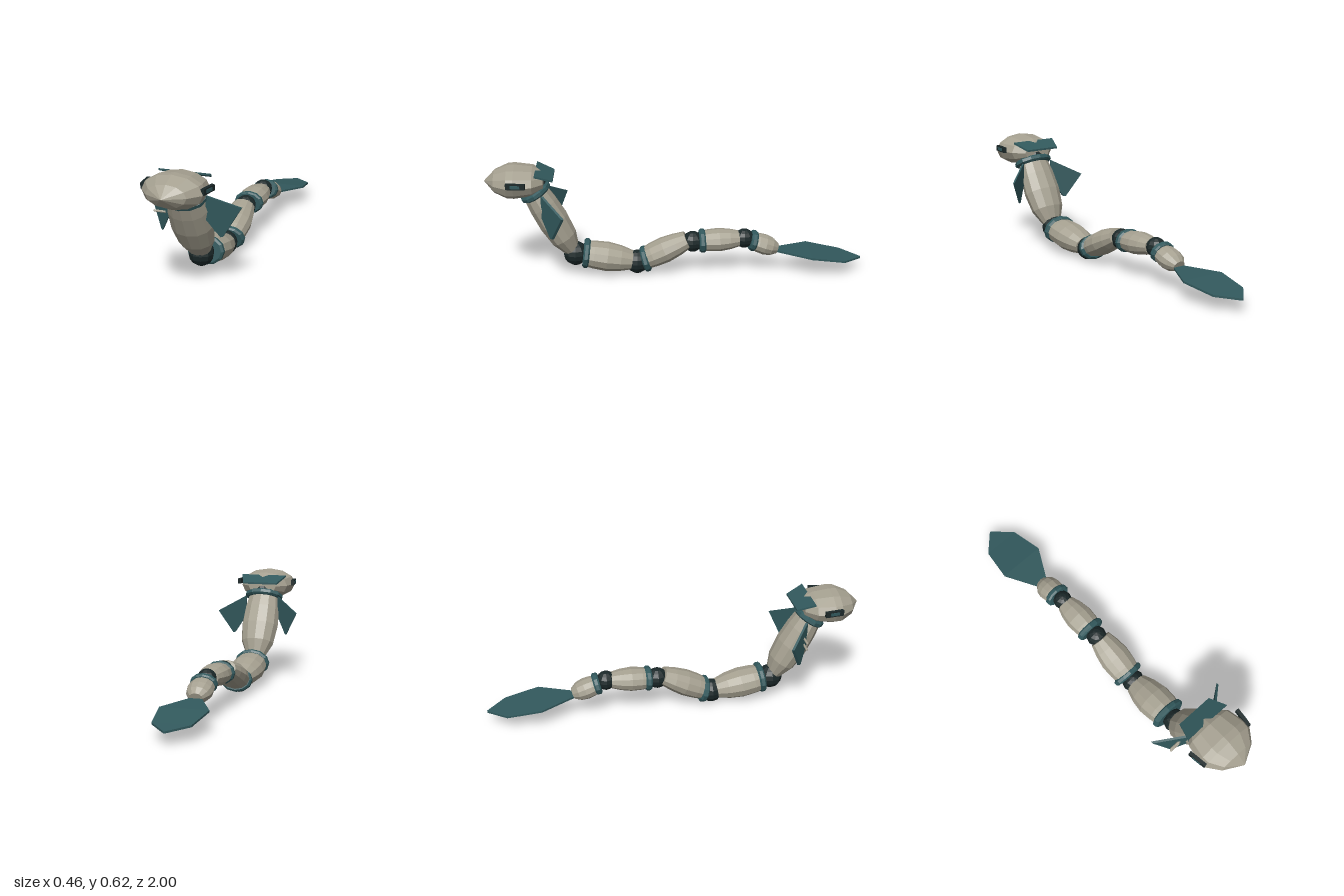
import * as THREE from 'three';

export function createModel() {
  const model = new THREE.Group();
  const mat = (name, color) => {
    const m = new THREE.MeshStandardMaterial({ color, flatShading: true });
    m.name = name;
    return m;
  };
  const bone = mat('bone plating', 0xa5a090);
  const teal = mat('teal trim', 0x32595d);
  const dark = mat('dark joint', 0x1b2829);

  const add = (name, geometry, material) => {
    const mesh = new THREE.Mesh(geometry, material);
    mesh.name = name;
    model.add(mesh);
    return mesh;
  };

  // Closed lathe running from a to b (each [y, z]), flattened by depth
  const spindle = (name, a, b, profile, radius, depth, material) => {
    const dy = b[0] - a[0], dz = b[1] - a[1], len = Math.hypot(dy, dz);
    const pts = profile.map(([t, r]) => new THREE.Vector2(r * radius, t * len));
    const g = new THREE.LatheGeometry(pts, 12);
    g.scale(1, 1, depth);
    g.rotateX(Math.atan2(dz, dy));
    g.translate(0, a[0], a[1]);
    return add(name, g, material);
  };

  // Thin bent plate from rows of [z, half width, y]
  const plate = (name, rows, thick) => {
    const g = new THREE.BoxGeometry(1, thick, 1, 1, 1, rows.length - 1);
    const p = g.attributes.position;
    for (let i = 0; i < p.count; i++) {
      const [z, half, y] = rows[Math.round((0.5 - p.getZ(i)) * (rows.length - 1))];
      p.setXYZ(i, p.getX(i) * 2 * half, y + p.getY(i), z);
    }
    g.computeVertexNormals();
    return add(name, g, teal);
  };

  // Head
  spindle('head', [0.531, 0.69], [0.531, 1],
    [[0, 0], [0, 0.52], [0.18, 0.87], [0.48, 1], [0.6, 0.98], [0.82, 0.65], [1, 0]], 0.157, 0.55, bone);

  // Eyes: dark visor plates with a small teal lens
  for (const s of [-1, 1]) {
    const eye = new THREE.Group();
    eye.name = s > 0 ? 'leftEye' : 'rightEye';
    const frame = new THREE.Mesh(new THREE.BoxGeometry(0.018, 0.03, 0.1), dark);
    frame.name = 'eyeFrame';
    const lens = new THREE.Mesh(new THREE.BoxGeometry(0.006, 0.016, 0.05), teal);
    lens.name = 'eyeLens';
    lens.position.x = s * 0.009;
    eye.add(frame, lens);
    eye.position.set(s * 0.156, 0.546, 0.825);
    eye.rotation.y = -s * 0.13;
    model.add(eye);
  }

  // Crest behind the head
  plate('crest', [[0.73, 0.132, 0.588], [0.638, 0.1, 0.553]], 0.01);

  // Body segments: front and rear centre [y, z], widest radius, rear taper
  const segments = [
    ['neck', [0.46, 0.735], [0.135, 0.55], 0.107, 0.48],
    ['bodySegment1', [0.116, 0.49], [0.072, 0.235], 0.098, 0.66],
    ['bodySegment2', [0.08, 0.165], [0.182, -0.06], 0.087, 0.7],
    ['bodySegment3', [0.176, -0.135], [0.186, -0.34], 0.078, 0.68],
    ['bodySegment4', [0.17, -0.415], [0.125, -0.545], 0.069, 0.52],
  ];
  for (const [name, a, b, r, end] of segments) {
    spindle(name, a, b,
      [[0, 0], [0, 0.84], [0.2, 0.95], [0.48, 1], [0.76, 0.88], [1, end], [1, 0]], r, 0.77, bone);
  }

  // Collars: centre [y, z], outer radius, axis tilt toward the tail
  const collars = [
    [0.468, 0.735, 0.112, [-0.86, -0.5]],
    [0.116, 0.478, 0.1, [-0.12, -1]],
    [0.078, 0.162, 0.089, [0.3, -1]],
    [0.176, -0.142, 0.081, [0.03, -1]],
    [0.172, -0.416, 0.072, [-0.25, -1]],
  ];
  collars.forEach(([y, z, r, [dy, dz]], i) => {
    const n = Math.hypot(dy, dz), h = 0.017;
    const a = [y - dy / n * h, z - dz / n * h], b = [y + dy / n * h, z + dz / n * h];
    spindle('collar' + i, a, b,
      [[0, 0], [0, 0.88], [0.25, 1], [0.75, 1], [1, 0.88], [1, 0]], r, 0.76, teal);
  });

  // Ball joints: [y, z, radius]
  const joints = [
    [0.495, 0.725, 0.052], [0.118, 0.535, 0.065], [0.063, 0.207, 0.063],
    [0.173, -0.09, 0.056], [0.187, -0.367, 0.052],
  ];
  joints.forEach(([y, z, r], i) => {
    add('joint' + i, new THREE.SphereGeometry(r, 10, 8), dark).position.set(0, y, z);
  });

  // Side fins, swept back from the neck
  for (const s of [1, -1]) {
    const shape = new THREE.Shape([[0.095, 0.472], [0.095, 0.355], [0.15, 0.26], [0.16, 0.26], [0.232, 0.393]]
      .map(([x, y]) => new THREE.Vector2(x, y)));
    const g = new THREE.ExtrudeGeometry(shape, { depth: 0.014, bevelEnabled: false });
    const p = g.attributes.position;
    for (let i = 0; i < p.count; i++) p.setZ(i, p.getZ(i) + 0.685 - (p.getX(i) - 0.1) * 0.8);
    g.computeVertexNormals();
    add(s > 0 ? 'leftFin' : 'rightFin', g, teal).scale.x = s;
  }

  // Two short rods by the right fin
  for (const y of [0.361, 0.398]) {
    const g = new THREE.CapsuleGeometry(0.006, 0.058, 2, 8);
    g.rotateZ(Math.PI / 2);
    add('finRod', g, bone).position.set(-0.153, y, 0.677);
  }

  // Leaf-shaped tail fin
  plate('tailFin', [[-0.53, 0.025, 0.12], [-0.72, 0.126, 0.108], [-0.9, 0.098, 0.077], [-1, 0.003, 0.065]], 0.01);

  return model;
}
